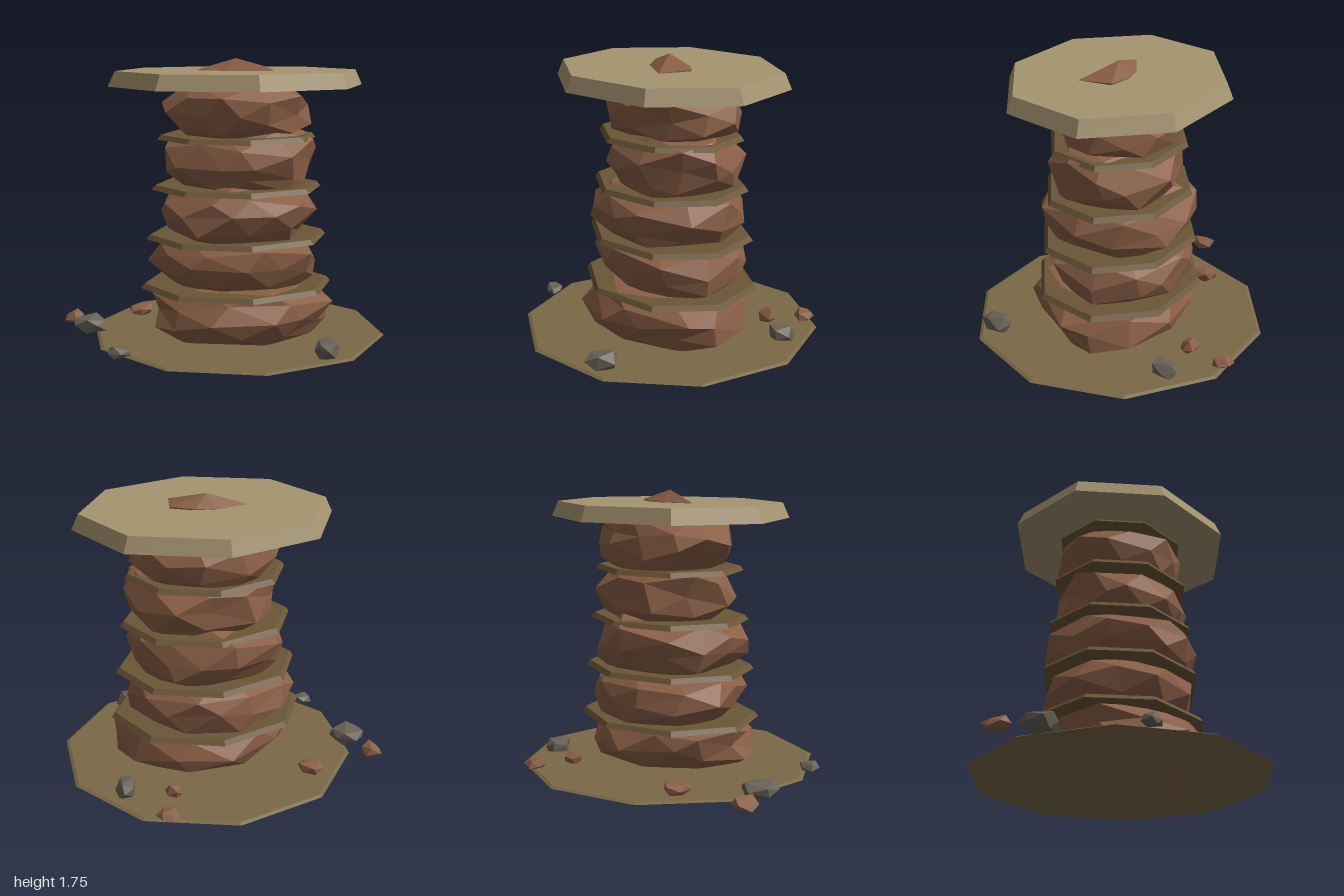
import * as THREE from 'three';
import { mergeVertices } from 'three/addons/utils/BufferGeometryUtils.js';
import { ConvexGeometry } from 'three/addons/geometries/ConvexGeometry.js';

const CX = 0.1;       // the column stands off-centre because of the scattered stones
const DEPTH = 0.86;   // slabs are slightly shallower than wide

const material = (color) => new THREE.MeshStandardMaterial({ color, flatShading: true, roughness: 1 });
const mats = {
  rock: material(0x8b5f46),
  stone: material(0x686256),
  ledge: material(0x6b5737),
  slab: material(0xa59470),
  ground: material(0x7a6945),
};

function seeded(seed) {
  let s = seed * 7919 + 17;
  return () => {
    s = (s * 16807) % 2147483647;
    return s / 2147483647;
  };
}

// Faceted rock: a jittered icosahedron with blunt top and flat bottom, fitted into a box
function rockGeometry(seed, detail, jitter, min, max) {
  let g = new THREE.IcosahedronGeometry(1, detail);
  g.deleteAttribute('uv');
  g.deleteAttribute('normal');
  g = mergeVertices(g, 1e-3);
  const rand = seeded(seed);
  for (let i = 0; i < 5; i++) rand();
  const turn = rand() * Math.PI;
  g.rotateY(turn);
  const p = g.attributes.position;
  const wobble = () => (rand() - 0.5) * 2 * jitter;
  for (let i = 0; i < p.count; i++) {
    const x = p.getX(i), y = p.getY(i), z = p.getZ(i);
    const r = Math.hypot(x, z);
    const k = r > 0.01 ? Math.pow(r, 0.55) / r : 1;
    const yy = THREE.MathUtils.clamp(y, -0.85, 0.85) + wobble();
    p.setXYZ(i, x * k + wobble(), Math.max(yy, -0.85), z * k + wobble());
  }
  g.computeBoundingBox();
  const b = g.boundingBox;
  const fit = (v, axis, i) => min[i] + ((v - b.min[axis]) / (b.max[axis] - b.min[axis])) * (max[i] - min[i]);
  for (let i = 0; i < p.count; i++) {
    p.setXYZ(i, fit(p.getX(i), 'x', 0), fit(p.getY(i), 'y', 1), fit(p.getZ(i), 'z', 2));
  }
  g.computeVertexNormals();
  return g;
}

export function createModel() {
  const model = new THREE.Group();
  model.name = 'rockPillar';
  const add = (name, geometry, mat) => {
    const mesh = new THREE.Mesh(geometry, mat);
    mesh.name = name;
    model.add(mesh);
    return mesh;
  };
  const disc = (name, rTop, rBottom, y0, y1, sides, depth, mat) => {
    const g = new THREE.CylinderGeometry(rTop, rBottom, y1 - y0, sides);
    g.scale(1, 1, depth);
    g.translate(CX, (y0 + y1) / 2, 0);
    return add(name, g, mat);
  };

  // Thin ten-sided ground patch
  disc('ground', 0.925, 0.945, 0.002, 0.012, 10, 1, mats.ground);

  // Stacked boulders: [xMin, xMax, yMin, yMax, zMin, zMax]
  const boulders = [
    [-0.45, 0.69, 0.0, 0.365, -0.48, 0.55],
    [-0.465, 0.61, 0.29, 0.665, -0.47, 0.46],
    [-0.375, 0.59, 0.61, 1.0, -0.48, 0.48],
    [-0.36, 0.615, 0.92, 1.315, -0.39, 0.4],
    [-0.365, 0.57, 1.235, 1.61, -0.41, 0.385],
  ];
  boulders.forEach(([x0, x1, y0, y1, z0, z1], i) => {
    add('boulder' + (i + 1), rockGeometry(i + 3, 1, 0.11, [x0, y0, z0], [x1, y1, z1]), mats.rock);
  });

  // Octagonal ledges between the boulders, narrowing upward
  for (let i = 0; i < 5; i++) {
    const r = 0.62 - i * 0.037;
    const y = 0.303 + i * 0.315;
    disc('ledge' + (i + 1), r - 0.025, r, y, y + 0.03, 8, DEPTH, mats.ledge);
  }

  // Wide cap slab
  disc('capSlab', 0.765, 0.81, 1.58, 1.675, 8, DEPTH, mats.slab);

  // Rock tip breaking through the cap
  const tip = [
    [-0.16, 1.675, -0.04], [0.06, 1.677, -0.1], [0.18, 1.68, -0.09], [0.32, 1.685, -0.02],
    [0.29, 1.675, 0.19], [0, 1.675, 0.09], [0.09, 1.75, 0], [0.31, 1.6, 0.0], [0.05, 1.6, 0.0],
  ].map((v) => new THREE.Vector3(...v));
  add('rockTip', new ConvexGeometry(tip), mats.rock);

  // Loose stones: [x, z, width, depth, height, material]
  const stones = [
    [-0.935, -0.34, 0.13, 0.17, 0.08, mats.rock],
    [-0.84, -0.14, 0.2, 0.22, 0.095, mats.stone],
    [-0.7, 0.46, 0.14, 0.12, 0.07, mats.stone],
    [0.52, 0.7, 0.17, 0.21, 0.115, mats.stone],
    [0.71, -0.46, 0.13, 0.16, 0.1, mats.stone],
    [0.51, -0.78, 0.14, 0.13, 0.07, mats.rock],
    [-0.475, -0.46, 0.15, 0.16, 0.075, mats.rock],
    [0.42, -0.55, 0.11, 0.12, 0.09, mats.rock],
  ];
  stones.forEach(([x, z, w, d, h, mat], i) => {
    const g = rockGeometry(i + 21, 0, 0.22, [x - w / 2, 0.003, z - d / 2], [x + w / 2, 0.003 + h, z + d / 2]);
    add('looseStone' + (i + 1), g, mat);
  });

  return model;
}
